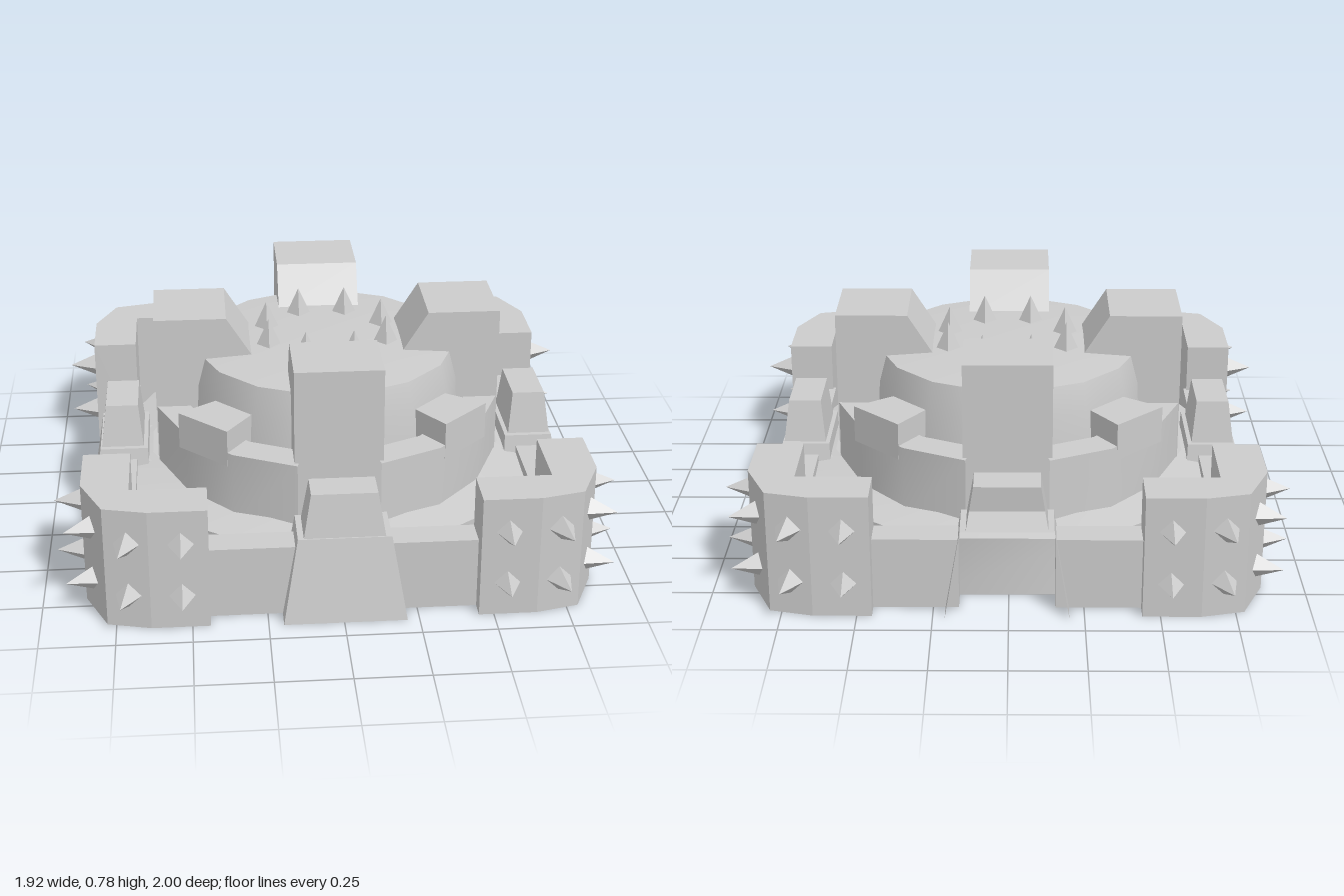
import * as THREE from 'three';
import { toCreasedNormals } from 'three/addons/utils/BufferGeometryUtils.js';

const stone = new THREE.MeshStandardMaterial({ color: 0xcccccc, flatShading: true, side: THREE.DoubleSide });
const smoothStone = new THREE.MeshStandardMaterial({ color: 0xcccccc, side: THREE.DoubleSide });
const rad = THREE.MathUtils.degToRad;

function add(parent, name, geometry, material = stone) {
  const mesh = new THREE.Mesh(geometry, material);
  mesh.name = name;
  parent.add(mesh);
  return mesh;
}

// Remove every face that looks downward, leaving the part hollow underneath
function openBelow(source) {
  const geo = source.index ? source.toNonIndexed() : source;
  const p = geo.attributes.position, kept = [];
  const tri = new THREE.Triangle(), normal = new THREE.Vector3();
  for (let i = 0; i < p.count; i += 3) {
    tri.setFromAttributeAndIndices(p, i, i + 1, i + 2);
    if (tri.getNormal(normal).y > -0.1) kept.push(...tri.a, ...tri.b, ...tri.c);
  }
  const open = new THREE.BufferGeometry();
  open.setAttribute('position', new THREE.Float32BufferAttribute(kept, 3));
  open.computeVertexNormals();
  return open;
}

function box(parent, name, x0, x1, y0, y1, z0, z1) {
  const geo = new THREE.BoxGeometry(x1 - x0, y1 - y0, z1 - z0);
  geo.translate((x0 + x1) / 2, (y0 + y1) / 2, (z0 + z1) / 2);
  add(parent, name, openBelow(geo));
}

// Box whose top rectangle differs from its base; rectangles are [halfWidth, zBack, zFront]
function taperedBox(y0, y1, base, top, openFront) {
  const geo = new THREE.BoxGeometry(1, 1, 1);
  const p = geo.attributes.position;
  for (let i = 0; i < p.count; i++) {
    const [w, back, front] = p.getY(i) > 0 ? top : base;
    p.setXYZ(i, Math.sign(p.getX(i)) * w, p.getY(i) > 0 ? y1 : y0, p.getZ(i) > 0 ? front : back);
  }
  if (openFront) {
    const index = Array.from(geo.index.array);
    index.splice(24, 6);
    geo.setIndex(index);
  }
  return openBelow(geo);
}

// Sweep a profile of [radius, y] through a list of uneven angles
function revolve(profile, degrees, closed = true) {
  const pos = [], idx = [], n = degrees.length;
  for (const [r, y] of profile)
    for (const d of degrees) pos.push(r * Math.cos(rad(d)), y, r * Math.sin(rad(d)));
  for (let j = 0; j < profile.length - 1; j++)
    for (let i = 0; i < (closed ? n : n - 1); i++) {
      const a = j * n + i, b = j * n + (i + 1) % n;
      idx.push(a, a + n, b, b, a + n, b + n);
    }
  const geo = new THREE.BufferGeometry();
  geo.setAttribute('position', new THREE.Float32BufferAttribute(pos, 3));
  geo.setIndex(idx);
  return toCreasedNormals(geo, 0.76);
}

// Plan outline of [x, z] points extruded upward
function prism(points, y0, y1) {
  const shape = new THREE.Shape(points.map(([x, z]) => new THREE.Vector2(x, z)));
  const geo = new THREE.ExtrudeGeometry(shape, { depth: y1 - y0, bevelEnabled: false });
  return openBelow(geo.rotateX(Math.PI / 2).translate(0, y1, 0));
}

// Four-sided spike, upright or (tilt of 90 degrees) pointing outward at a yaw angle
function spike(parent, at, tilt = 0, yaw = 0) {
  const mesh = add(parent, 'spike', new THREE.ConeGeometry(0.045, 0.1, 4, 1, true).translate(0, 0.05, 0));
  mesh.position.set(...at);
  mesh.rotation.set(tilt, yaw, 0, 'YXZ');
}

export function createModel() {
  const model = new THREE.Group();
  model.name = 'fortress';
  model.position.x = 0.005;

  // Skirt and shallow dome
  const quarter = [8, 38, 69];
  const angles = [...quarter, ...quarter.map(a => 180 - a).reverse(),
    ...quarter.map(a => 180 + a), ...quarter.map(a => 360 - a).reverse()];
  add(model, 'skirt', revolve([[0.81, 0], [0.81, 0.21], [0.64, 0.24]], angles), smoothStone);
  const domeAngles = Array.from({ length: 16 }, (_, i) => 11.25 + i * 22.5);
  const dome = revolve([[0.515, 0.34], [0.505, 0.53], [0.48, 0.63], [0.28, 0.645], [0, 0.645]], domeAngles);
  add(model, 'dome', dome.scale(0.97, 1, 1.01), smoothStone);

  // Spikes on the dome, an even circle with gaps toward the towers
  for (const sx of [-1, 1]) for (const sz of [-1, 1])
    for (const [x, z] of [[0.085, 0.21], [0.21, 0.085]])
      spike(model, [sx * x + 0.005, 0.64, sz * z - 0.02]);

  // Ring ledge in four arcs between the towers, each carrying a raised block
  const at = (r, d) => [r * Math.cos(rad(d)), r * Math.sin(rad(d))];
  const arc = [12.5, 35.5, 55.5, 77];
  const ringProfile = [[0.655, 0.2], [0.655, 0.45], [0.54, 0.45], [0.53, 0.36], [0.49, 0.36]];
  for (let k = 0; k < 4; k++) {
    const turned = k % 2 ? arc.map(d => k * 90 + 90 - d).reverse() : arc.map(d => k * 90 + d);
    add(model, 'ringLedge', revolve(ringProfile, turned, false).scale(0.955, 1, 1.03), smoothStone);
    const [, a, b] = turned;
    add(model, 'ringBlock', prism([at(0.48, a), at(0.655, a), at(0.655, b), at(0.48, b)], 0.4, 0.53));
  }

  // Four sides, each with two walls, gate buttress and tower
  const sides = [
    { name: 'front', turn: 0, shift: 0, open: false },
    { name: 'left', turn: Math.PI / 2, shift: -0.05, open: true },
    { name: 'back', turn: Math.PI, shift: 0, open: true },
    { name: 'right', turn: -Math.PI / 2, shift: -0.05, open: false },
  ];
  for (const { name, turn, shift, open } of sides) {
    const side = new THREE.Group();
    side.name = name + 'Side';
    side.rotation.y = turn;
    model.add(side);

    box(side, 'wall', -0.49, -0.16, 0, 0.25, 0.74 + shift, 0.845 + shift);
    box(side, 'wall', 0.16, 0.49, 0, 0.25, 0.74 + shift, 0.845 + shift);

    const gate = new THREE.Group();
    gate.name = 'gate';
    gate.position.z = shift;
    side.add(gate);
    add(gate, 'buttress', taperedBox(0, 0.29, [0.205, 0.69, 0.92], [0.155, 0.7, 0.87], open));
    add(gate, 'buttressCap', taperedBox(0.29, 0.44, [0.135, 0.715, 0.865], [0.11, 0.73, 0.845], open));

    box(side, 'towerFoot', -0.15, 0.15, 0.03, 0.235, 0.6, 0.72 + shift);
    const profile = new THREE.Shape([[0.635, 0.2], [0.635, 0.78], [0.38, 0.78], [0.285, 0.63],
      [0.285, 0.6], [0.5, 0.35], [0.5, 0.2]].map(([z, y]) => new THREE.Vector2(z, y)));
    const tower = new THREE.ExtrudeGeometry(profile, { depth: 0.3, bevelEnabled: false });
    tower.translate(shift * 0.45, 0, -0.15).rotateY(-Math.PI / 2);
    add(side, 'tower', openBelow(tower));
  }

  // Spiked corner bastions with bevelled outer corners
  const outline = [[0.445, 0.745], [0.445, 0.905], [0.64, 0.905], [0.785, 0.87], [0.86, 0.7],
    [0.86, 0.475], [0.7, 0.475], [0.7, 0.745]];
  const spikes = [[0.535, 0.9, 0], [0.71, 0.885, 15], [0.825, 0.765, 68], [0.86, 0.57, 90]];
  for (const sx of [-1, 1]) for (const sz of [-1, 1]) {
    const corner = new THREE.Group();
    corner.name = (sz > 0 ? 'front' : 'back') + (sx > 0 ? 'Left' : 'Right') + 'Bastion';
    model.add(corner);
    add(corner, 'bastion', prism(outline.map(([x, z]) => [sx * x, sz * z]), 0, 0.43));
    for (const [x, z, yaw] of spikes)
      for (const y of [0.12, 0.31])
        spike(corner, [sx * x, y, sz * z], Math.PI / 2, sx * (sz > 0 ? rad(yaw) : Math.PI - rad(yaw)));
  }
  return model;
}
